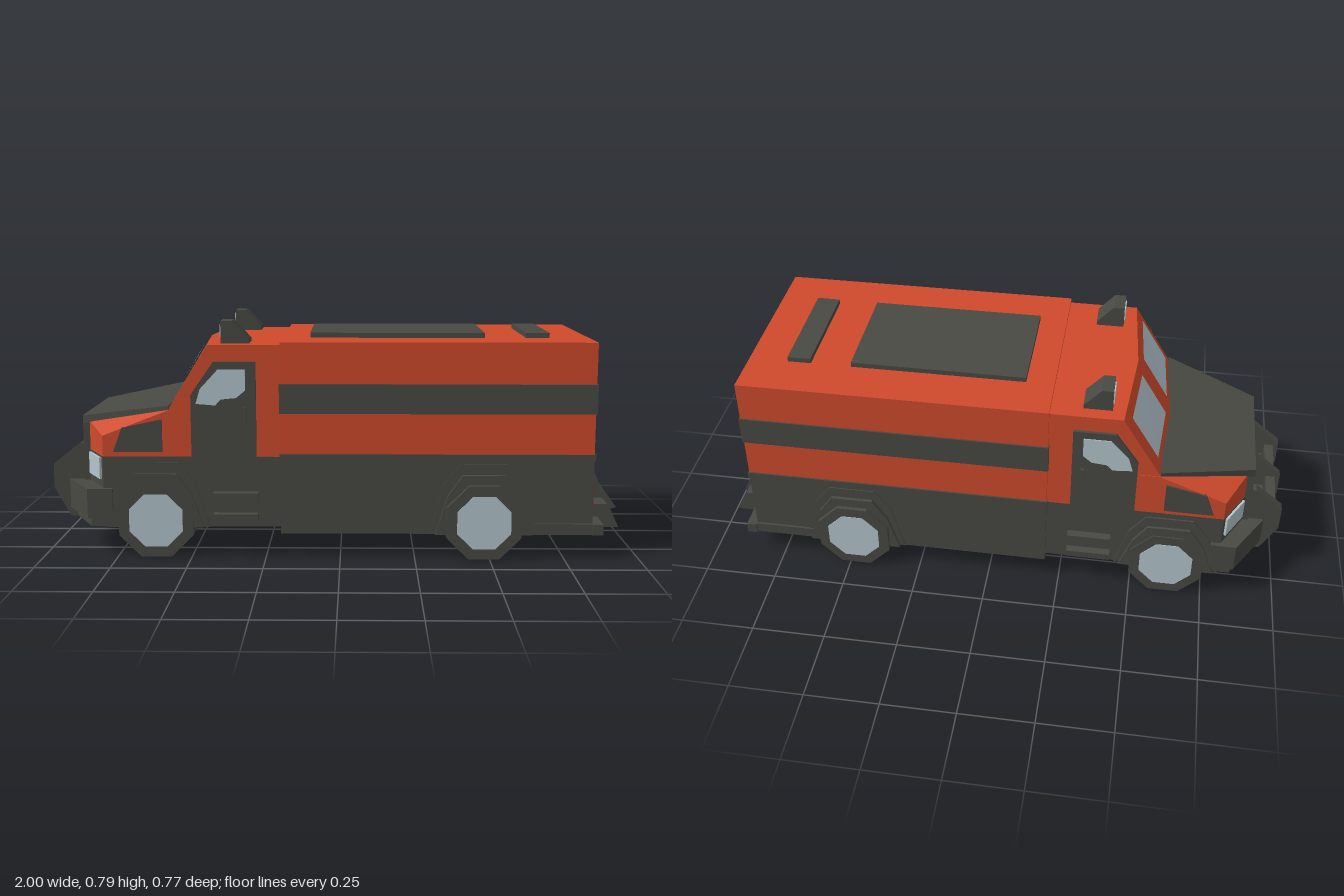
import * as THREE from 'three';
import { ConvexGeometry } from 'three/addons/geometries/ConvexGeometry.js';

export function createModel() {
  const group = new THREE.Group();
  group.name = 'armouredTruck';
  const material = (name, color) => {
    const m = new THREE.MeshStandardMaterial({ color });
    m.name = name;
    return m;
  };
  const orange = material('orangePaint', 0xcf4a2b);
  const dark = material('darkGrey', 0x484942);
  const glass = material('paleGlass', 0xb4c6ce);
  const red = material('tailLightRed', 0x8f2023);

  const add = (name, geometry, mat) => {
    const mesh = new THREE.Mesh(geometry, mat);
    mesh.name = name;
    group.add(mesh);
    return mesh;
  };
  const box = (name, mat, x0, x1, y0, y1, z0, z1) =>
    add(name, new THREE.BoxGeometry(x1 - x0, y1 - y0, z1 - z0)
      .translate((x0 + x1) / 2, (y0 + y1) / 2, (z0 + z1) / 2), mat);
  const extrude = (pts, depth) => new THREE.ExtrudeGeometry(
    new THREE.Shape(pts.map(([a, b]) => new THREE.Vector2(a, b))), { depth, bevelEnabled: false });
  // side outline [x, y] swept from z0 to z1
  const sidePlate = (name, mat, pts, z0, z1) =>
    add(name, extrude(pts, z1 - z0).translate(0, 0, z0), mat);
  // rear outline [z, y] swept from x0 to x1
  const rearPlate = (name, mat, pts, x0, x1) =>
    add(name, extrude(pts.map(([z, y]) => [-z, y]), x1 - x0).rotateY(Math.PI / 2).translate(x0, 0, 0), mat);
  // half plan outline [x, z] mirrored and swept from y0 to y1
  const planPrism = (name, mat, half, y0, y1) => {
    const pts = [...half, ...half.map(([x, z]) => [x, -z]).reverse()];
    return add(name, extrude(pts, y1 - y0).rotateX(-Math.PI / 2).translate(0, y0, 0), mat);
  };
  // convex solid from points mirrored across z
  const hull = (name, mat, pts) => add(name, new ConvexGeometry(
    pts.flatMap(([x, y, z]) => (z ? [[x, y, z], [x, y, -z]] : [[x, y, z]]))
      .map((p) => new THREE.Vector3(...p))), mat);
  const octagon = (cx, cy, apothem) => Array.from({ length: 8 }, (_, i) => {
    const a = Math.PI / 8 + (i * Math.PI) / 4;
    const r = apothem / Math.cos(Math.PI / 8);
    return [cx + r * Math.cos(a), cy + r * Math.sin(a)];
  });
  // a plate on each flank, zIn to zOut from the centre line
  const flanks = (name, mat, pts, zIn, zOut) => {
    sidePlate(name + 'Left', mat, pts, zIn, zOut);
    sidePlate(name + 'Right', mat, pts, -zOut, -zIn);
  };
  const rect = (a0, a1, b0, b1) => [[a0, b0], [a1, b0], [a1, b1], [a0, b1]];

  // rear body
  box('bodyLower', dark, -0.2, 0.845, 0.08, 0.35, -0.354, 0.354);
  box('bodyUpper', orange, -0.2, 0.845, 0.35, 0.725, -0.352, 0.352);
  box('bodyStripe', dark, -0.203, 0.849, 0.488, 0.587, -0.358, 0.358);
  box('bodyBelt', dark, -0.203, 0.849, 0.33, 0.352, -0.358, 0.358);
  box('roofHatch', dark, -0.105, 0.49, 0.72, 0.742, -0.192, 0.192);
  box('roofVent', dark, 0.63, 0.71, 0.72, 0.742, -0.192, 0.192);

  // cab
  planPrism('cabLower', dark, [[-0.87, 0.21], [-0.797, 0.342], [-0.2, 0.342]], 0.1, 0.34);
  hull('cabUpper', orange, [
    [-0.2, 0.34, 0.34], [-0.2, 0.715, 0.34], [-0.44, 0.715, 0.34], [-0.465, 0.715, 0],
    [-0.57, 0.505, 0.34], [-0.59, 0.51, 0], [-0.57, 0.34, 0.34], [-0.59, 0.34, 0]]);
  hull('fenders', orange, [
    [-0.866, 0.34, 0.213], [-0.796, 0.34, 0.342], [-0.5, 0.34, 0.342],
    [-0.866, 0.44, 0.213], [-0.796, 0.41, 0.342], [-0.57, 0.498, 0.342], [-0.5, 0.498, 0.342]]);
  hull('hood', dark, [
    [-0.89, 0.458, 0.21], [-0.572, 0.512, 0.34], [-0.89, 0.43, 0.21], [-0.572, 0.485, 0.34]]);
  box('grille', dark, -0.89, -0.86, 0.2, 0.44, -0.21, 0.21);

  // windshield panes, set on the two halves of the raked V
  for (const s of [1, -1]) {
    const at = (u, v) => new THREE.Vector3(-0.59, 0.51, 0)
      .lerp(new THREE.Vector3(-0.57, 0.505, 0.34 * s), u)
      .lerp(new THREE.Vector3(-0.465, 0.715, 0).lerp(new THREE.Vector3(-0.44, 0.715, 0.34 * s), u), v);
    const corners = [at(0.14, 0.14), at(0.86, 0.14), at(0.86, 0.87), at(0.14, 0.87)]
      .map((p) => p.add(new THREE.Vector3(-0.005, 0.004, 0)));
    if (s < 0) corners.reverse();
    const order = [0, 1, 2, 0, 2, 3];
    const g = new THREE.BufferGeometry().setFromPoints(order.map((i) => corners[i]));
    g.computeVertexNormals();
    add(s > 0 ? 'windshieldLeft' : 'windshieldRight', g, glass);
  }

  // doors, vents and side steps
  flanks('door', dark, [[-0.497, 0.31], [-0.28, 0.31], [-0.28, 0.66], [-0.42, 0.66], [-0.497, 0.55]], 0.33, 0.35);
  flanks('doorWindow', glass, [[-0.48, 0.52], [-0.415, 0.515], [-0.395, 0.535], [-0.345, 0.54],
    [-0.315, 0.565], [-0.315, 0.635], [-0.405, 0.635], [-0.465, 0.57]], 0.348, 0.353);
  flanks('doorHandle', dark, rect(-0.32, -0.31, 0.445, 0.51), 0.348, 0.36);
  flanks('fenderVent', dark, [[-0.76, 0.357], [-0.595, 0.357], [-0.595, 0.467], [-0.73, 0.438]], 0.335, 0.348);
  for (const y of [0.125, 0.197]) flanks('sideStep', dark, rect(-0.425, -0.275, y, y + 0.024), 0.33, 0.37);

  // wheels and stepped arches
  const arch = (cx, y0, k, top) => [
    [cx - 0.18 * k, y0], [cx - 0.135 * k, top - 0.07], [cx - 0.08 * k, top],
    [cx + 0.08 * k, top], [cx + 0.135 * k, top - 0.07], [cx + 0.18 * k, y0]].reverse();
  for (const [name, cx, y0, z] of [['front', -0.62, 0.1, 0.362], ['rear', 0.48, 0.08, 0.384]]) {
    flanks(name + 'ArchOuter', dark, arch(cx, y0, 1, 0.32), 0.33, z - 0.026 + (name === 'front' ? 0.012 : 0));
    flanks(name + 'ArchInner', dark, arch(cx, y0, 0.9, 0.283), 0.33, z - 0.014 + (name === 'front' ? 0.01 : 0));
    flanks(name + 'Tyre', dark, octagon(cx, 0.125, 0.125), z - 0.104, z);
    flanks(name + 'Hub', glass, octagon(cx, 0.125, 0.09), z - 0.004, z + 0.002);
  }

  // front bumper, headlights and bull bar
  planPrism('frontBumper', dark, [[-0.945, 0.2], [-0.85, 0.358], [-0.765, 0.358]], 0.13, 0.232);
  planPrism('frontSkirt', dark, [[-0.925, 0.19], [-0.84, 0.345], [-0.765, 0.345]], 0.1, 0.13);
  for (const s of [1, -1]) {
    const lamp = box(s > 0 ? 'headlightLeft' : 'headlightRight', glass, -0.06, 0.06, -0.037, 0.037, -0.004, 0.004);
    lamp.position.set(-0.836, 0.297, 0.28 * s);
    lamp.rotation.y = -s * Math.atan2(0.132, 0.073);
  }
  const barOutline = [[-1, 0.2], [-0.945, 0.1], [-0.88, 0.1], [-0.88, 0.36], [-0.905, 0.36], [-1, 0.285]];
  flanks('bullBarUpright', dark, barOutline, 0.168, 0.2);
  sidePlate('bullBarCentre', dark, barOutline, -0.014, 0.014);
  box('bullBarCross', dark, -0.982, -0.95, 0.2, 0.275, -0.17, 0.17);
  sidePlate('bullBarSkid', dark, [[-0.982, 0.2], [-0.935, 0.11], [-0.88, 0.11], [-0.88, 0.2]], -0.17, 0.17);

  // roof lamps
  flanks('roofLamp', dark, [[-0.4, 0.71], [-0.305, 0.71], [-0.305, 0.728], [-0.362, 0.79], [-0.4, 0.79]], 0.206, 0.294);
  for (const s of [1, -1]) {
    box('roofLampLens', glass, -0.404, -0.398, 0.735, 0.778, s * 0.25 - 0.03, s * 0.25 + 0.03);
  }

  // rear doors with two windows
  rearPlate('rearDoors', dark, [[-0.204, 0.08], [0.204, 0.08], [0.204, 0.628], [0.17, 0.66], [-0.17, 0.66], [-0.204, 0.628]], 0.84, 0.862);
  for (const s of [1, -1]) {
    rearPlate('rearWindow', glass, [[0.007, 0.455], [0.178, 0.455], [0.178, 0.615], [0.158, 0.636], [0.007, 0.636]]
      .map(([z, y]) => [z * s, y]), 0.86, 0.865);
    rearPlate('tailLight', red, [[0.282, 0.138], [0.324, 0.138], [0.335, 0.15], [0.335, 0.255],
      [0.324, 0.267], [0.282, 0.267], [0.271, 0.255], [0.271, 0.15]].map(([z, y]) => [z * s, y]), 0.843, 0.85);
  }

  // rear bumper, step and fins
  box('rearBumper', dark, 0.845, 0.88, 0.08, 0.117, -0.37, 0.37);
  flanks('rearSill', dark, rect(0.63, 0.88, 0.08, 0.117), 0.34, 0.362);
  sidePlate('rearStep', dark, [[0.85, 0.08], [0.955, 0.08], [0.915, 0.16], [0.85, 0.16]], -0.253, 0.253);
  sidePlate('centreFin', dark, [[0.85, 0.08], [0.965, 0.08], [1, 0.09], [0.935, 0.18], [0.872, 0.325], [0.85, 0.325]], -0.009, 0.009);
  flanks('sideFin', dark, [[0.85, 0.08], [0.965, 0.08], [0.92, 0.18], [0.872, 0.283], [0.85, 0.283]], 0.135, 0.152);

  return group;
}
